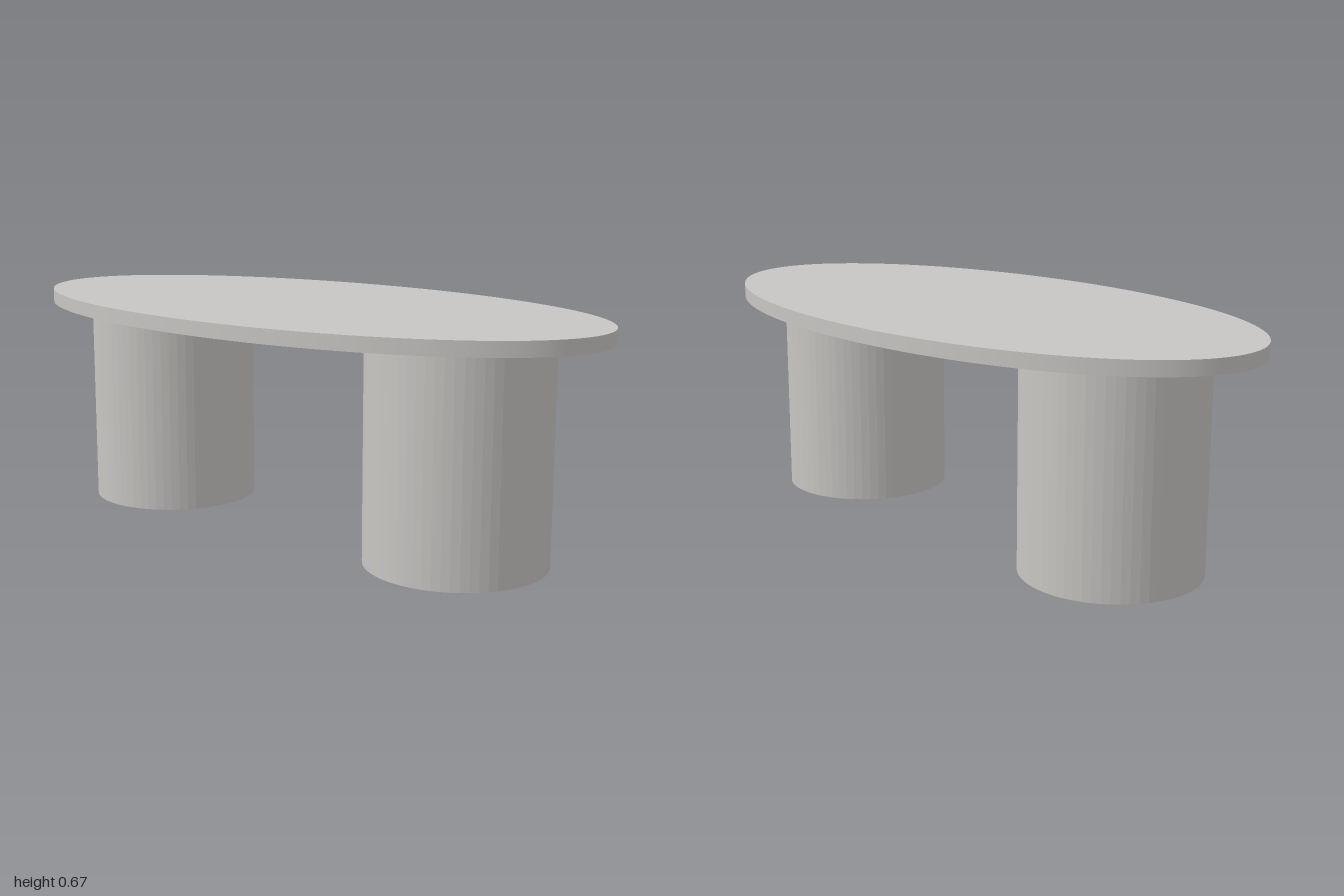
import * as THREE from 'three';

export function createModel() {
  const model = new THREE.Group();
  model.name = 'ovalTable';
  const stone = new THREE.MeshStandardMaterial({ color: 0xc8c6c3 });
  stone.name = 'pale stone';
  // faceted version for the finely panelled drums
  const legHeight = 0.627, topThickness = 0.041, legRadius = 0.256;

  // Oval slab
  const top = new THREE.Mesh(new THREE.CylinderGeometry(1, 1, topThickness, 128), stone);
  top.geometry.scale(1, 1, 0.506);
  top.position.y = legHeight + topThickness / 2;
  top.name = 'tableTop';
  model.add(top);

  // Drum legs, faceted all round by splitting the shared corners
  for (const [name, x] of [['rightLeg', -0.565], ['leftLeg', 0.58]]) {
    const drum = new THREE.CylinderGeometry(legRadius, legRadius, legHeight, 64).toNonIndexed();
    drum.computeVertexNormals();
    const leg = new THREE.Mesh(drum, stone);
    leg.position.set(x, legHeight / 2, 0.01);
    leg.name = name;
    model.add(leg);
  }
  return model;
}
